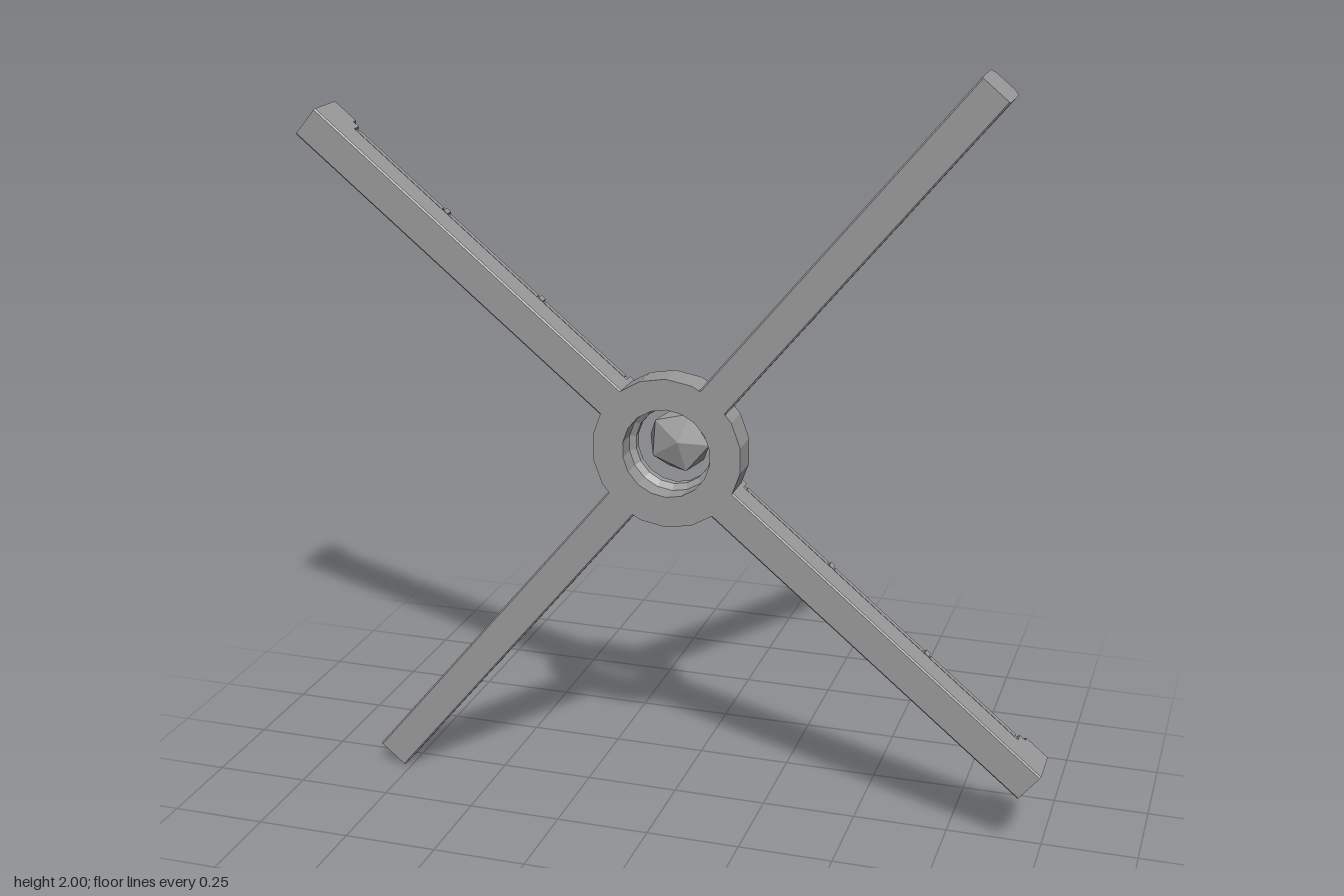
import * as THREE from 'three';

const steel = new THREE.MeshStandardMaterial({ color: 0x9a9a9a, flatShading: true });
steel.name = 'grey steel';

function part(name, geometry, parent) {
  const mesh = new THREE.Mesh(geometry, steel);
  mesh.name = name;
  parent.add(mesh);
  return mesh;
}

// Symmetric cross-section (half width, height toward the back) run along the arm from s0 to s1
const alongArm = new THREE.Matrix4().makeBasis(
  new THREE.Vector3(0, -1, 0), new THREE.Vector3(0, 0, -1), new THREE.Vector3(1, 0, 0));

function bar(half, s0, s1) {
  const right = half.map(([w, h]) => new THREE.Vector2(w, h));
  const left = half.map(([w, h]) => new THREE.Vector2(-w, h)).reverse();
  const g = new THREE.ExtrudeGeometry(new THREE.Shape([...right, ...left]),
    { depth: s1 - s0, bevelEnabled: false });
  g.applyMatrix4(alongArm);
  // bake the start offset
  g.translate(s0, 0, 0);
  return g;
}

// Ring or disc profile turned about the front-back axis
function turned(points, sides) {
  const g = new THREE.LatheGeometry(points.map(([r, h]) => new THREE.Vector2(r, h)), sides);
  g.rotateX(-Math.PI / 2);
  return g;
}

function createArm() {
  const arm = new THREE.Group();
  part('armBeam', bar([[0.041, -0.08], [0.045, -0.076], [0.045, -0.004], [0.041, 0]], 0.15, 1.26), arm);
  part('armSpine', bar([[0.034, -0.004], [0.034, 0.03]], 0.18, 1.2), arm);

  // Three stepped panels with a bolt in the middle of each
  for (const [s0, s1] of [[0.215, 0.497], [0.523, 0.832], [0.858, 1.155]]) {
    part('armPanel', bar([[0.042, 0.004], [0.042, 0.019], [0.036, 0.024],
      [0.032, 0.036], [0.026, 0.042]], s0, s1), arm);
    const bolt = part('panelBolt', new THREE.SphereGeometry(0.011, 8, 6), arm);
    bolt.position.set((s0 + s1) / 2, 0, -0.041);
  }

  // Narrow bands across the joints
  for (const s of [0.51, 0.845]) {
    part('jointBand', bar([[0.0455, -0.002], [0.0455, 0.022], [0.036, 0.034]], s - 0.007, s + 0.007), arm);
  }

  // Collar at the hub and raised cap at the tip
  part('hubCollar', bar([[0.045, -0.004], [0.045, 0.026], [0.034, 0.042]], 0.172, 0.205), arm);
  part('tipCap', bar([[0.045, -0.004], [0.045, 0.04], [0.031, 0.058]], 1.185, 1.26), arm);
  part('tipStep', bar([[0.045, -0.004], [0.045, 0.024], [0.034, 0.036]], 1.165, 1.186), arm);
  return arm;
}

export function createModel() {
  const model = new THREE.Group();
  const wheel = new THREE.Group();
  wheel.name = 'cross';
  wheel.position.y = 1;
  model.add(wheel);

  // Four equal arms
  for (let i = 0; i < 4; i++) {
    const arm = createArm();
    arm.name = 'arm' + (i + 1);
    arm.rotation.z = THREE.MathUtils.degToRad(50.4 + 90 * i);
    wheel.add(arm);
  }

  // Hub ring, grooved on the back
  part('hubRing', turned([[0.118, -0.08], [0.2, -0.08], [0.2, 0.006], [0.192, 0.014], [0.17, 0.014],
    [0.164, 0.002], [0.14, 0.002], [0.135, 0.018], [0.11, 0.018], [0.104, 0.01],
    [0.104, -0.01], [0.118, -0.025], [0.118, -0.08]], 18), wheel);

  // Faceted gem floating in the hub
  const gemShape = new THREE.IcosahedronGeometry(0.092, 0);
  gemShape.rotateX(0.5);
  gemShape.rotateY(0.1);
  gemShape.rotateZ(0.25);
  gemShape.scale(1, 1, 0.5);
  part('gem', gemShape, wheel).position.z = -0.04;

  return model;
}
